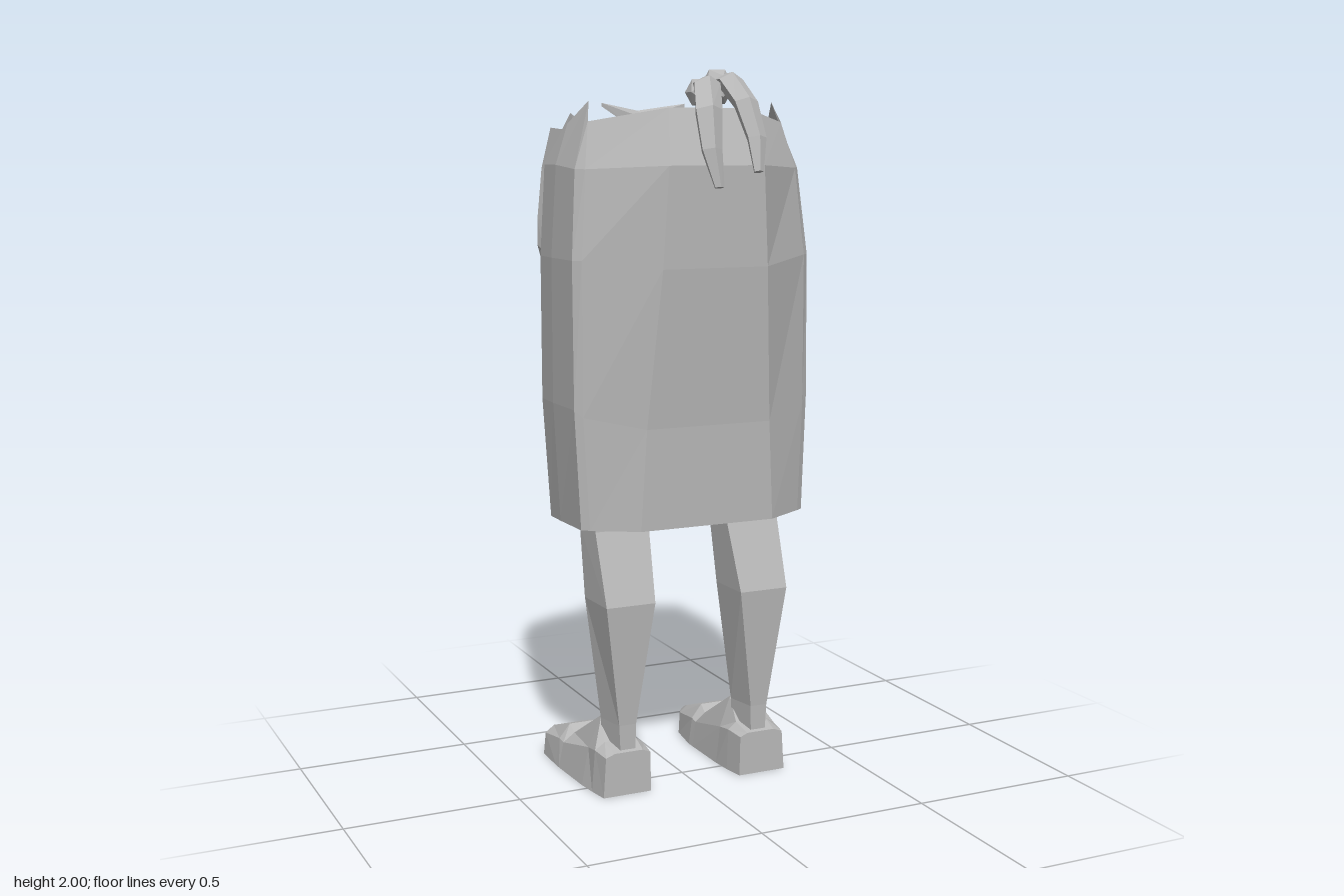
import * as THREE from 'three';

const clay = new THREE.MeshStandardMaterial({ color: 0xb8b8b8, flatShading: true, side: THREE.DoubleSide });
clay.name = 'plain grey';

// Faceted surface through rows of points; rows may be closed into rings and capped
function loft(name, rows, { closed = true, capStart = false, capEnd = false } = {}) {
  const pos = [];
  const tri = (a, b, c) => pos.push(...a, ...b, ...c);
  const n = rows[0].length;
  for (let i = 0; i < rows.length - 1; i++) {
    for (let j = 0; j < (closed ? n : n - 1); j++) {
      const k = (j + 1) % n;
      tri(rows[i][j], rows[i][k], rows[i + 1][k]);
      tri(rows[i][j], rows[i + 1][k], rows[i + 1][j]);
    }
  }
  const cap = (ring, flip) => {
    const c = [0, 1, 2].map(a => ring.reduce((s, p) => s + p[a], 0) / n);
    ring.forEach((p, j) => {
      const q = ring[(j + 1) % n];
      flip ? tri(c, q, p) : tri(c, p, q);
    });
  };
  if (capStart) cap(rows[0], true);
  if (capEnd) cap(rows[rows.length - 1], false);
  const g = new THREE.BufferGeometry();
  g.setAttribute('position', new THREE.Float32BufferAttribute(pos, 3));
  g.computeVertexNormals();
  const mesh = new THREE.Mesh(g, clay);
  mesh.name = name;
  return mesh;
}

const mirror = ([x, y, z]) => [-x, y, z];

// Tunic: half rings from front corner round the +x side to the back centre
function tunic() {
  const half = [
    [[0.2, 0.77, 0.168], [0.32, 0.77, 0.095], [0.34, 0.77, 0.08], [0.338, 0.765, -0.08], [0.33, 0.76, -0.175], [0.19, 0.745, -0.26], [0, 0.74, -0.265]],
    [[0.185, 1.05, 0.175], [0.335, 1.08, 0.09], [0.355, 1.1, 0.075], [0.356, 1.1, -0.08], [0.35, 1.1, -0.18], [0.175, 1.1, -0.262], [0, 1.12, -0.268]],
    [[0.155, 1.48, 0.215], [0.335, 1.5, 0.09], [0.355, 1.5, 0.07], [0.356, 1.5, -0.08], [0.35, 1.5, -0.18], [0.155, 1.45, -0.24], [0, 1.45, -0.243]],
    [[0.14, 1.75, 0.222], [0.315, 1.74, 0.07], [0.335, 1.74, 0.045], [0.34, 1.75, -0.08], [0.333, 1.75, -0.185], [0.15, 1.7, -0.24], [0, 1.7, -0.243]],
    [[0.115, 1.9, 0.165], [0.29, 1.865, 0.03], [0.275, 1.92, 0], [0.305, 1.86, -0.08], [0.26, 1.89, -0.172], [0.14, 1.83, -0.268], [0, 1.81, -0.283]],
  ];
  const rings = half.map(h => [...h, ...h.slice(0, -1).reverse().map(mirror)]);
  return loft('tunic', rings, { capStart: true });
}

// Rounded flap lying on the back, with a raised lower edge
function flap() {
  const half = [
    [[0.35, 1.52, -0.175], [0.29, 1.36, -0.2], [0.155, 1.2, -0.25], [0, 1.16, -0.255]],
    [[0.357, 1.53, -0.185], [0.295, 1.36, -0.23], [0.16, 1.2, -0.277], [0, 1.16, -0.288]],
    [[0.354, 1.6, -0.19], [0.27, 1.58, -0.225], [0.155, 1.55, -0.257], [0, 1.55, -0.262]],
    [[0.338, 1.74, -0.195], [0.26, 1.72, -0.23], [0.15, 1.7, -0.257], [0, 1.7, -0.262]],
    [[0.31, 1.85, -0.195], [0.255, 1.845, -0.232], [0.14, 1.84, -0.285], [0, 1.82, -0.303]],
  ];
  const rows = half.map(h => [...h, ...h.slice(0, -1).reverse().map(mirror)]);
  return loft('backFlap', rows, { closed: false });
}

// Pointed collar piece at the centre of the neckline
function collar() {
  const rows = [
    [[0.13, 1.91, -0.26], [0, 1.84, -0.3], [-0.13, 1.91, -0.26]],
    [[0.13, 1.92, -0.26], [0, 1.9, -0.305], [-0.13, 1.92, -0.26]],
    [[0.13, 1.92, -0.26], [0, 1.88, -0.27], [-0.13, 1.92, -0.26]],
  ];
  return loft('collarPoint', rows, { closed: false });
}

// Five-sided leg: flat front, ridge at the back; s picks the side
function leg(s) {
  // y, inner x, outer x, front z, side z, ridge z
  const levels = [
    [0.1, 0.165, 0.245, 0.08, -0.01, -0.045],
    [0.2, 0.163, 0.25, 0.082, -0.01, -0.05],
    [0.55, 0.127, 0.285, 0.11, -0.035, -0.085],
    [0.75, 0.115, 0.288, 0.04, -0.06, -0.108],
    [0.95, 0.115, 0.281, 0.03, -0.09, -0.15],
  ];
  const rings = levels.map(([y, xi, xo, zf, zs, zr], i) => {
    const inset = i < 2 ? 0.018 : 0.006;
    return [[xi + inset, y, zf], [xo - inset, y, zf], [xo, y, zs], [0.2, y, zr], [xi, y, zs]]
      .map(([x, yy, z]) => [s * x, yy, z]);
  });
  return loft('leg', rings);
}

// Foot: six-point sections from heel to toe
function foot(s) {
  // z, sole inner/outer x, shoulder height, top height, top inner/outer x
  const sections = [
    [0.093, 0.14, 0.285, 0.115, 0.125, 0.165, 0.25],
    [0.03, 0.13, 0.295, 0.12, 0.14, 0.16, 0.255],
    [-0.03, 0.125, 0.302, 0.11, 0.2, 0.17, 0.24],
    [-0.19, 0.123, 0.31, 0.075, 0.1, 0.165, 0.26],
    [-0.215, 0.123, 0.31, 0.08, 0.12, 0.165, 0.265],
    [-0.32, 0.138, 0.308, 0.065, 0.085, 0.165, 0.275],
    [-0.365, 0.175, 0.215, 0.06, 0.068, 0.18, 0.21],
  ];
  const rings = sections.map(([z, xi, xo, hs, h, ti, to]) => [
    [xi, 0, z], [xo, 0, z], [(xo + to) / 2 + 0.01, hs, z], [to, h, z], [ti, h, z], [(xi + ti) / 2 - 0.01, hs, z],
  ].map(([x, y, zz]) => [s * x, y, zz]));
  return loft('foot', rings, { capStart: true, capEnd: true });
}

// Tapered five-sided lock following points of x, y, z, radius
function lock(path) {
  const rings = path.map(([x, y, z, r], i) => {
    const a = path[Math.max(i - 1, 0)], b = path[Math.min(i + 1, path.length - 1)];
    const t = Math.atan2(b[1] - a[1], b[2] - a[2]);
    return Array.from({ length: 5 }, (_, k) => {
      const w = (k / 5) * Math.PI * 2 + 0.3;
      const u = r * Math.cos(w), v = r * 0.8 * Math.sin(w);
      return [x + u, y + v * Math.cos(t), z - v * Math.sin(t)];
    });
  });
  return loft('hangingLock', rings, { capStart: true, capEnd: true });
}

function knot(x, y, z, rx, ry, rz) {
  const m = new THREE.Mesh(new THREE.IcosahedronGeometry(1, 0).scale(rx, ry, rz), clay);
  m.position.set(x, y, z);
  m.name = 'knot';
  return m;
}

export function createModel() {
  const model = new THREE.Group();
  model.name = 'standingFigure';
  model.add(tunic(), flap(), collar());

  for (const s of [1, -1]) {
    const limb = new THREE.Group();
    limb.name = s > 0 ? 'leftLeg' : 'rightLeg';
    limb.add(leg(s), foot(s));
    model.add(limb);
  }

  // Knotted tuft at the front of the neckline
  const tuft = new THREE.Group();
  tuft.name = 'tuft';
  tuft.add(
    knot(0.02, 1.955, 0.175, 0.045, 0.052, 0.045),
    knot(-0.03, 1.94, 0.165, 0.035, 0.04, 0.038),
    lock([[-0.02, 1.955, 0.17, 0.03], [-0.035, 1.955, 0.225, 0.04], [-0.055, 1.89, 0.275, 0.04], [-0.062, 1.79, 0.31, 0.03], [-0.05, 1.695, 0.333, 0.014]]),
    lock([[0.02, 1.96, 0.17, 0.03], [0.035, 1.965, 0.225, 0.036], [0.048, 1.91, 0.285, 0.035], [0.06, 1.82, 0.325, 0.028], [0.052, 1.735, 0.355, 0.014]]),
  );
  model.add(tuft);
  return model;
}
